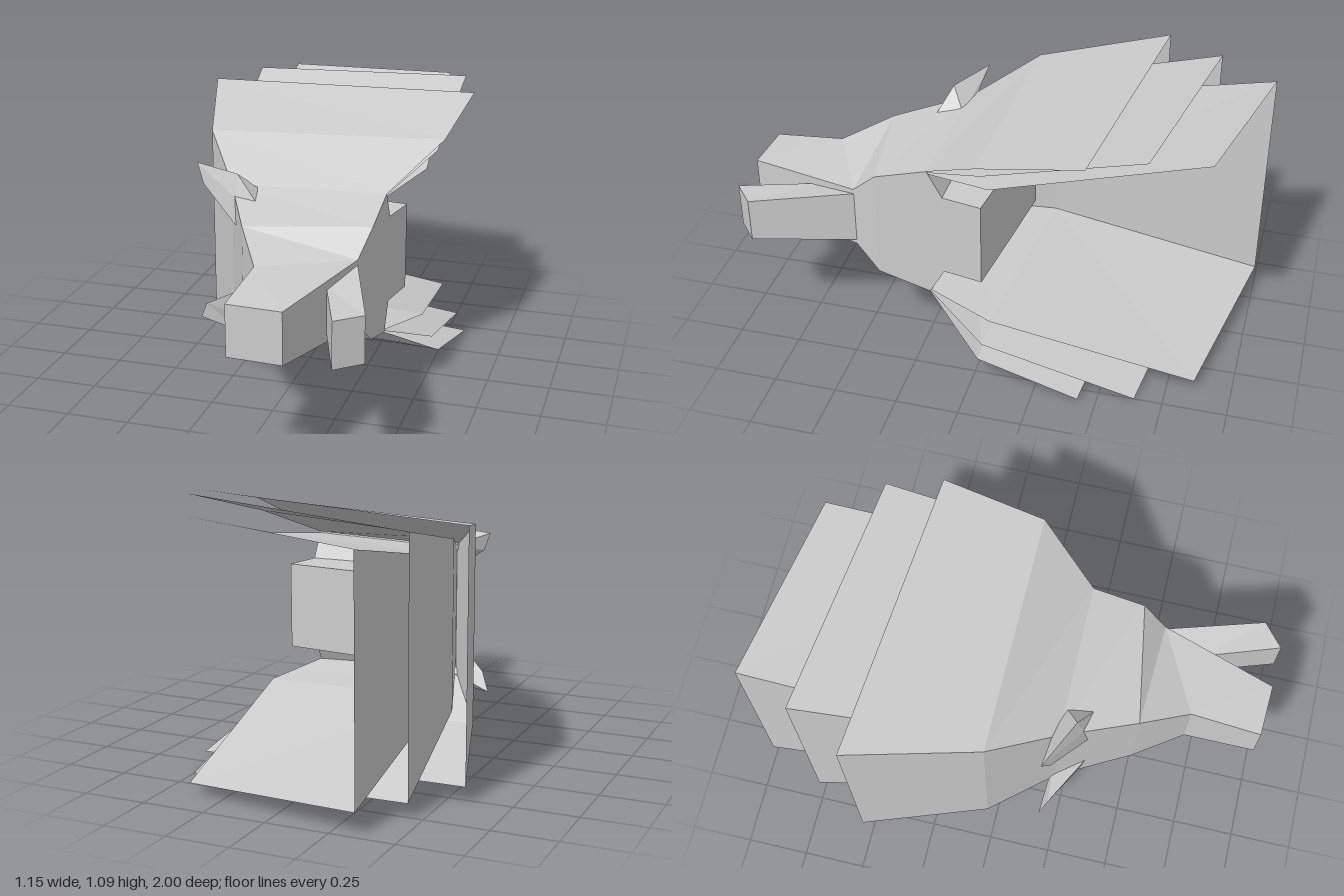
import * as THREE from 'three';

// The head lies on its side: its plane of symmetry is y = MID, crown towards -x, throat towards +x.
const MID = 0.545;

const fur = new THREE.MeshStandardMaterial({ color: 0xcccccc });
fur.name = 'greyFur';
fur.side = THREE.DoubleSide;
fur.flatShading = true;

// Flat-faced mesh from corner points and polygons, each split into a fan
function facets(name, points, polygons) {
  const pos = [];
  for (const p of polygons) {
    for (let i = 1; i < p.length - 1; i++) {
      for (const k of [p[0], p[i], p[i + 1]]) pos.push(...points[k]);
    }
  }
  const geo = new THREE.BufferGeometry();
  geo.setAttribute('position', new THREE.Float32BufferAttribute(pos, 3));
  geo.computeVertexNormals();
  const mesh = new THREE.Mesh(geo, fur);
  mesh.name = name;
  return mesh;
}

// Four-cornered loft; section = [crown x, z, half width, throat x, z, half width]
function loft(name, sections, { throat = true, startCap = true, endCap = true } = {}) {
  const points = [];
  const polygons = [];
  for (const [cx, cz, ch, tx, tz, th] of sections) {
    points.push([tx, MID + th, tz], [cx, MID + ch, cz], [cx, MID - ch, cz], [tx, MID - th, tz]);
  }
  const sides = throat ? 4 : 3;
  for (let s = 0; s < sections.length - 1; s++) {
    for (let i = 0; i < sides; i++) {
      const a = s * 4 + i;
      const b = s * 4 + ((i + 1) % 4);
      polygons.push([a, a + 4, b + 4, b]);
    }
  }
  const n = points.length;
  if (startCap) polygons.push([0, 1, 2, 3]);
  if (endCap) polygons.push([n - 1, n - 2, n - 3, n - 4]);
  return facets(name, points, polygons);
}

// Ear: a wedge from a narrow tip edge to a notched base
function ear(name, side) {
  const points = [
    [-0.405, 0.33, 0.185], [-0.37, 0.255, 0.215], // tip edge
    [-0.205, 0.33, 0.28], [-0.115, 0.24, 0.33], // outer edge and base corner
    [-0.205, 0.24, 0.31], [-0.195, 0.135, 0.33], // notch and inner corner
    [-0.125, 0.25, 0.22], [-0.2, 0.25, 0.2], // rear base
  ].map(([x, h, z]) => [x, MID + side * h, z]);
  const polygons = [
    [0, 1, 4, 2], [1, 5, 4], [2, 4, 3], [2, 3, 6],
    [0, 2, 6, 7], [0, 7, 1], [1, 7, 5], [4, 5, 3], [3, 5, 7, 6],
  ];
  if (side < 0) polygons.forEach((p) => p.reverse());
  return facets(name, points, polygons);
}

export function createModel() {
  const model = new THREE.Group();
  model.name = 'animalHead';

  // Muzzle, cheeks and neck
  model.add(loft('head', [
    [-0.01, 0.985, 0.1, 0.2, 0.995, 0.1],
    [0.0, 0.7, 0.13, 0.34, 0.53, 0.13],
    [-0.11, 0.51, 0.205, 0.37, 0.43, 0.225],
    [-0.25, 0.22, 0.265, 0.37, 0.22, 0.285],
    [-0.22, 0.16, 0.175, 0.37, 0.16, 0.175],
    [-0.2, -0.07, 0.175, 0.4, 0, 0.175],
  ]));

  // Lower jaw
  model.add(loft('lowerJaw', [
    [0.375, 1.0, 0.09, 0.47, 0.92, 0.09],
    [0.27, 0.7, 0.085, 0.34, 0.53, 0.11],
  ]));

  // Three nested mane layers, open at the throat and the back
  const layers = [
    ['outerMane', [
      [-0.25, 0.22, 0.265, 0.37, 0.22, 0.285],
      [-0.42, -0.03, 0.4, 0.54, -0.02, 0.445],
      [-0.58, -0.54, 0.48, 0.575, -0.43, 0.53]]],
    ['middleMane', [
      [-0.248, 0.22, 0.26, 0.37, 0.22, 0.28],
      [-0.35, -0.08, 0.345, 0.51, -0.03, 0.395],
      [-0.45, -0.77, 0.485, 0.5, -0.64, 0.545]]],
    ['innerMane', [
      [-0.245, 0.22, 0.255, 0.37, 0.22, 0.275],
      [-0.32, -0.13, 0.285, 0.465, -0.05, 0.31],
      [-0.35, -1.0, 0.455, 0.39, -0.855, 0.5]]],
  ];
  for (const [name, sections] of layers) {
    model.add(loft(name, sections, { throat: false, startCap: false, endCap: false }));
  }

  // Ears
  model.add(ear('upperEar', 1), ear('lowerEar', -1));
  return model;
}
